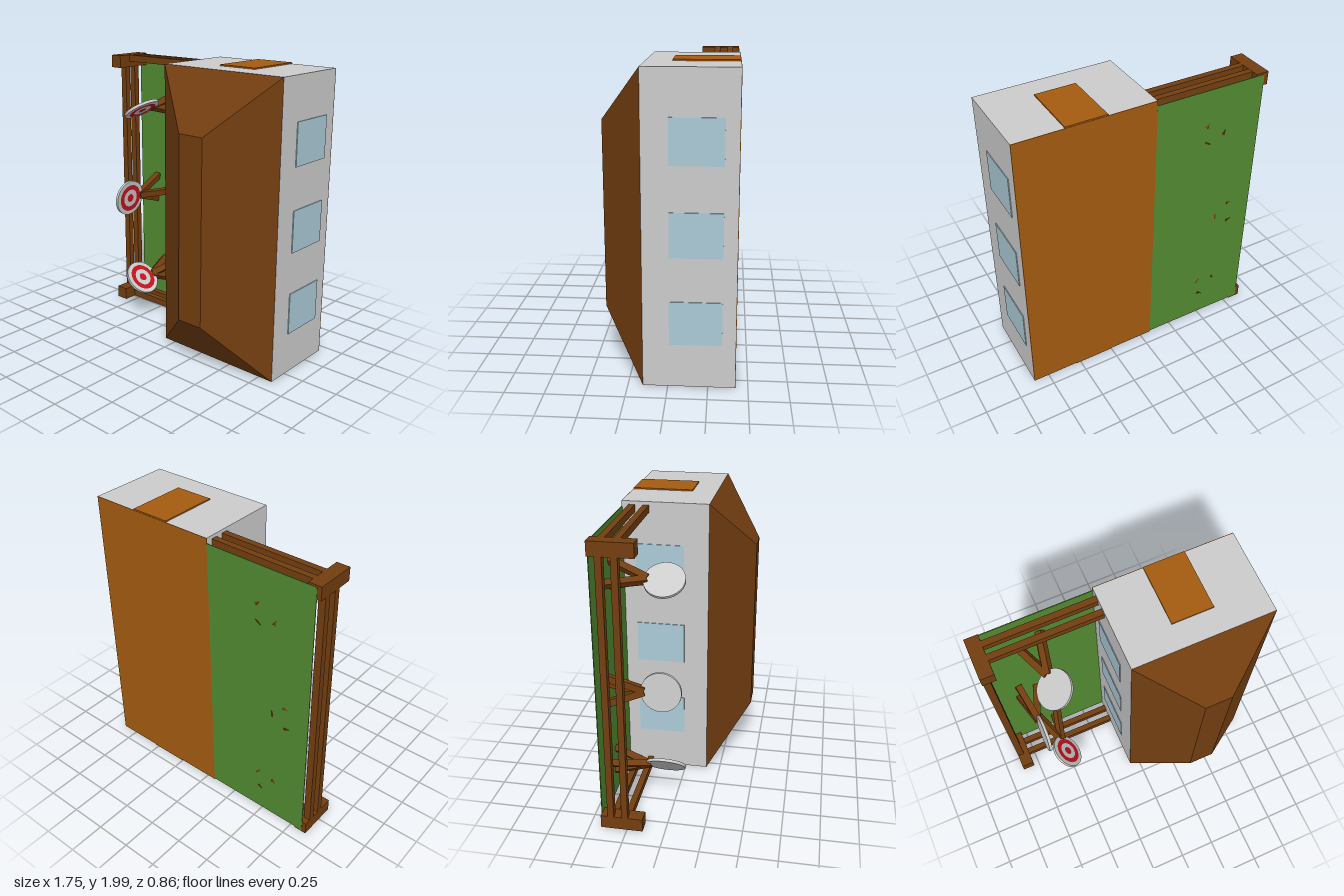
import * as THREE from 'three';

const mat = (name, color) => {
  const m = new THREE.MeshStandardMaterial({ color });
  m.name = name;
  return m;
};

export function createModel() {
  const timber = mat('dark timber', 0x733e10);
  const plank = mat('orange timber', 0xa55b10);
  const wall = mat('pale grey', 0xcccccc);
  const glass = mat('window blue', 0xaccbd7);
  const grassGreen = mat('grass green', 0x528b31);
  const red = mat('target red', 0xc4141c);

  const model = new THREE.Group();
  const add = (parent, name, geo, material, x = 0, y = 0, z = 0) => {
    const mesh = new THREE.Mesh(geo, material);
    mesh.name = name;
    mesh.position.set(x, y, z);
    parent.add(mesh);
    return mesh;
  };
  const box = (parent, name, material, w, h, d, x, y, z) =>
    add(parent, name, new THREE.BoxGeometry(w, h, d), material, x, y, z);

  // House, lying with its roof towards +z and turned very slightly
  const house = new THREE.Group();
  house.name = 'house';
  house.position.set(0.398, 1.002, 0);
  house.rotation.z = -0.005;
  model.add(house);
  box(house, 'walls', wall, 0.935, 1.975, 0.573, 0, 0, -0.1315);
  box(house, 'floor', plank, 0.935, 1.975, 0.004, 0, 0, -0.42);

  // Hipped roof: a box whose top face is drawn in to a narrow ridge
  const roofGeo = new THREE.BoxGeometry(0.935, 1.975, 0.28);
  const p = roofGeo.attributes.position;
  for (let i = 0; i < p.count; i++) {
    if (p.getZ(i) > 0) p.setXY(i, Math.sign(p.getX(i)) * 0.0925, Math.sign(p.getY(i)) * 0.622);
  }
  roofGeo.computeVertexNormals();
  add(house, 'roof', roofGeo, timber, 0, 0, 0.295);

  // Doors on both ends, three windows on both long sides
  for (const s of [-1, 1]) {
    box(house, 'door', plank, 0.275, 0.009, 0.41, 0, s * 0.992, -0.215);
    for (const y of [-0.563, 0, 0.563]) {
      box(house, 'window', glass, 0.008, 0.282, 0.326, s * 0.469, y, -0.172);
    }
  }

  // Lawn
  box(model, 'lawn', grassGreen, 0.785, 1.93, 0.005, -0.4575, 0.992, -0.4195);

  // Fence: two corner posts and double rails on three sides
  const fence = new THREE.Group();
  fence.name = 'fence';
  model.add(fence);
  for (const y of [0.06, 1.925]) box(fence, 'post', timber, 0.09, 0.09, 0.278, -0.835, y, -0.281);
  for (const z of [-0.353, -0.26]) {
    box(fence, 'sideRail', timber, 0.048, 1.85, 0.042, -0.856, 0.992, z);
    for (const y of [0.04, 1.945]) box(fence, 'endRail', timber, 0.79, 0.048, 0.042, -0.455, y, z);
  }

  // Archery target facing local +x, on a three-legged stand
  const up = new THREE.Vector3(0, 0, 1);
  const leg = (parent, foot, top) => {
    const a = new THREE.Vector3(...foot), b = new THREE.Vector3(...top);
    const mesh = box(parent, 'leg', timber, 0.045, 0.045, a.distanceTo(b), 0, 0, 0);
    mesh.position.copy(a).add(b).multiplyScalar(0.5);
    mesh.quaternion.setFromUnitVectors(up, b.sub(a).normalize());
  };
  const R = 0.132;
  const target = (x, y, angle) => {
    const g = new THREE.Group();
    g.name = 'archeryTarget';
    g.position.set(x, y, 0);
    g.rotation.z = angle;
    model.add(g);
    const disc = add(g, 'disc', new THREE.CylinderGeometry(R, R, 0.02, 32), wall, 0, 0, -0.055);
    disc.rotation.z = Math.PI / 2;
    const rings = [
      ['redRing', new THREE.RingGeometry(R * 0.5, R * 0.77, 32)],
      ['bullseye', new THREE.CircleGeometry(R * 0.23, 24)],
    ];
    for (const [name, geo] of rings) {
      add(g, name, geo, red, 0.012, 0, -0.055).rotation.y = Math.PI / 2;
    }
    leg(g, [0.082, 0, -0.418], [-0.005, 0, -0.165]);
    for (const s of [-1, 1]) leg(g, [-0.05, s * 0.096, -0.418], [-0.002, s * 0.005, -0.165]);
  };
  target(-0.488, 1.62, -0.99);
  target(-0.637, 0.925, -0.09);
  target(-0.515, 0.305, 0.77);

  return model;
}
